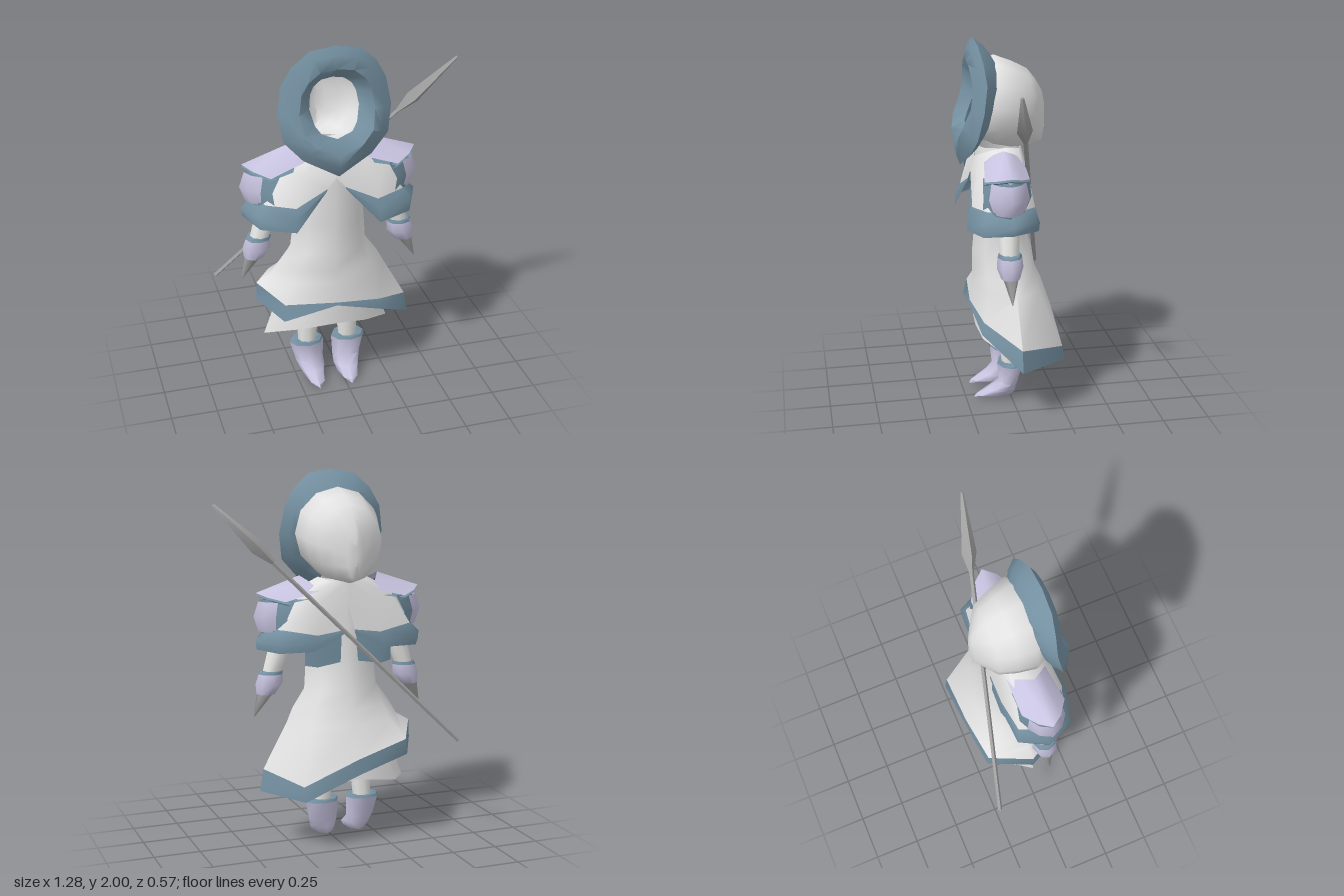
import * as THREE from 'three';
import { toCreasedNormals } from 'three/addons/utils/BufferGeometryUtils.js';

const mat = (name, color) => {
  const m = new THREE.MeshStandardMaterial({ color, side: THREE.DoubleSide });
  m.name = name;
  return m;
};

// Skin a surface through rows of points; closed joins each row into a ring.
function loft(rows, closed = true) {
  const n = rows[0].length, index = [];
  for (let r = 0; r + 1 < rows.length; r++) {
    for (let i = 0; i < (closed ? n : n - 1); i++) {
      const j = (i + 1) % n, a = r * n + i, b = r * n + j;
      index.push(a, a + n, b, b, a + n, b + n);
    }
  }
  const g = new THREE.BufferGeometry();
  g.setAttribute('position', new THREE.Float32BufferAttribute(rows.flat(2), 3));
  g.setIndex(index);
  return toCreasedNormals(g, 1.2);
}

// Horizontal oval cross-section, starting at the front and turning to +x.
const ring = (x, y, z, rx, rz, n = 8) => Array.from({ length: n }, (_, i) => {
  const a = (i / n) * Math.PI * 2;
  return [x + rx * Math.sin(a), y, z + rz * Math.cos(a)];
});

const limb = (sections, n) => loft(sections.map((s) => ring(...s, n)));

export function createModel() {
  const cloth = mat('pale cloth', 0xe2e2e2);
  const linen = mat('off-white linen', 0xe8e8e6);
  const trim = mat('slate blue trim', 0x7591a2);
  const armour = mat('lavender armour', 0xc8c3e0);
  const steel = mat('grey steel', 0xa0a0a0);

  const model = new THREE.Group();
  model.name = 'hoodedSpearFigure';
  const figure = new THREE.Group();
  figure.name = 'figure';
  figure.position.x = -0.063;
  model.add(figure);
  const add = (parent, name, geometry, material) => {
    const m = new THREE.Mesh(geometry, material);
    m.name = name;
    parent.add(m);
    return m;
  };

  // Hood shell, open at the front: [z, half width, bottom y, top y]
  const hood = [
    [0.15, 0.19, 1.47, 1.86], [0.075, 0.242, 1.43, 1.91], [-0.02, 0.215, 1.41, 1.875],
    [-0.105, 0.18, 1.415, 1.83], [-0.15, 0.11, 1.425, 1.775], [-0.185, 0.045, 1.44, 1.71],
    [-0.2, 0, 1.52, 1.64],
  ].map(([z, w, y0, y1]) => Array.from({ length: 12 }, (_, i) => {
    const a = (i / 12) * Math.PI * 2;
    return [w * Math.sin(a), (y0 + y1) / 2 + ((y1 - y0) / 2) * Math.cos(a), z];
  }));
  add(figure, 'hood', loft(hood), cloth);

  // Thick hood border: [outer x, y, z, inner x, y, z, half depth], top to chin
  const half = [
    [0, 2.0, 0.18, 0, 1.82, 0.13, 0.072], [0.13, 1.98, 0.175, 0.06, 1.81, 0.13, 0.072],
    [0.22, 1.9, 0.16, 0.1, 1.78, 0.135, 0.07], [0.275, 1.8, 0.15, 0.12, 1.74, 0.14, 0.066],
    [0.298, 1.66, 0.17, 0.13, 1.67, 0.16, 0.06], [0.275, 1.52, 0.2, 0.11, 1.59, 0.195, 0.068],
    [0.18, 1.42, 0.225, 0.08, 1.55, 0.215, 0.062], [0, 1.325, 0.255, 0, 1.52, 0.225, 0.05],
  ];
  const mirrored = half.slice(1, -1).reverse().map(([a, b, c, d, ...e]) => [-a, b, c, -d, ...e]);
  const border = [...half, ...mirrored, half[0]].map(([ox, oy, oz, ix, iy, iz, d]) => {
    const at = (t, dz) => [ox + (ix - ox) * t, oy + (iy - oy) * t, oz + (iz - oz) * t + dz];
    return [at(0, 0), at(0.25, d * 0.5), at(0.6, d), at(1, 0), at(0.6, -d), at(0.25, -d * 0.6)];
  });
  add(figure, 'hoodBorder', loft(border), trim);

  // Tunic with a slanted hem: [y, half width, front z, back z]
  const hemTop = [
    [0, 0.55, 0.21], [0.25, 0.51, 0.17], [0.455, 0.42, 0], [0.31, 0.37, -0.245],
    [0, 0.49, -0.245], [-0.28, 0.57, -0.22], [-0.395, 0.62, 0], [-0.28, 0.565, 0.185],
  ];
  const hemBottom = [
    [0, 0.535, 0.215], [0.27, 0.45, 0.185], [0.475, 0.3, 0], [0.305, 0.29, -0.26],
    [0, 0.405, -0.25], [-0.285, 0.49, -0.23], [-0.4, 0.52, 0], [-0.29, 0.475, 0.205],
  ];
  const torso = [
    [1.43, 0.1, 0.17, -0.06], [1.25, 0.17, 0.19, -0.08], [1.0, 0.195, 0.18, -0.09],
    [0.84, 0.21, 0.195, -0.135], [0.74, 0.28, 0.195, -0.15], [0.665, 0.32, 0.195, -0.185],
  ].map(([y, w, f, b]) => ring(0, y, (f + b) / 2, w, (f - b) / 2));
  add(figure, 'tunic', loft([...torso, hemTop]), cloth);
  add(figure, 'hemBand', loft([hemTop, hemBottom]), trim);

  // Underskirt
  const skirtHem = [
    [0, 0.4, 0.18], [0.18, 0.385, 0.165], [0.34, 0.31, 0.02], [0.23, 0.34, -0.19],
    [0, 0.37, -0.21], [-0.23, 0.34, -0.19], [-0.365, 0.305, 0.02], [-0.18, 0.385, 0.165],
  ];
  add(figure, 'underskirt', loft([ring(0, 0.7, 0.01, 0.22, 0.16), skirtHem]), cloth);

  // Mantle columns run from the chest slit round the shoulder to the spine
  const neck = [[0, 1.37, 0.18], [0.08, 1.4, 0.16], [0.11, 1.425, 0.1], [0.13, 1.44, 0.03],
    [0.11, 1.43, -0.04], [0.06, 1.42, -0.065], [0, 1.42, -0.07]];
  const shoulder = [[0, 1.29, 0.2], [0.17, 1.32, 0.19], [0.28, 1.34, 0.13], [0.31, 1.35, 0.04],
    [0.27, 1.34, -0.04], [0.15, 1.32, -0.08], [0, 1.3, -0.085]];
  const bandTop = [[0.05, 1.235, 0.205], [0.22, 1.155, 0.225], [0.37, 1.17, 0.17], [0.41, 1.17, 0.05],
    [0.36, 1.18, -0.08], [0.18, 1.145, -0.1], [0.03, 1.165, -0.1]];
  const bandMid = [[0.05, 1.23, 0.207], [0.225, 1.1, 0.25], [0.41, 1.115, 0.195], [0.475, 1.11, 0.05],
    [0.4, 1.11, -0.097], [0.2, 1.1, -0.108], [0.03, 1.155, -0.103]];
  const bandBottom = [[0.05, 1.225, 0.205], [0.225, 1.03, 0.255], [0.405, 1.045, 0.195], [0.47, 1.065, 0.05],
    [0.39, 1.06, -0.095], [0.2, 1.06, -0.105], [0.03, 1.145, -0.103]];

  // Shoulder plate outlines, front to back
  const plateInner = [[0.155, 1.375, 0.15], [0.19, 1.42, 0.11], [0.225, 1.448, 0.06],
    [0.19, 1.42, 0], [0.15, 1.375, -0.06]];
  const plateOuter = [[0.34, 1.32, 0.18], [0.42, 1.345, 0.125], [0.468, 1.365, 0.06],
    [0.42, 1.345, 0], [0.34, 1.325, -0.055]];
  const guard = (y, x, zr, inset) => [-1, -0.6, 0, 0.6, 1].map((t) => [x - inset * t * t, y, 0.06 - t * zr]);
  const lower = (pts, d) => pts.map(([x, y, z]) => [x, y - d, z]);

  for (const side of [1, -1]) {
    const g = new THREE.Group();
    g.name = side > 0 ? 'leftSide' : 'rightSide';
    g.scale.x = side;
    figure.add(g);

    add(g, 'mantle', loft([neck, shoulder, bandTop], false), cloth);
    add(g, 'mantleBand', loft([bandTop, bandMid, bandBottom], false), trim);
    add(g, 'backFlap', loft([
      [[0.04, 1.16, -0.092], [0.16, 1.16, -0.096], [0.25, 1.15, -0.085]],
      [[0.05, 0.995, -0.1], [0.18, 0.975, -0.104], [0.245, 0.985, -0.085]],
    ], false), trim);

    // Layered shoulder armour
    add(g, 'shoulderPlate', loft([plateInner, plateOuter], false), armour);
    add(g, 'shoulderPlateLining', loft([lower(plateInner, 0.03), lower(plateOuter, 0.012),
      lower(plateOuter, 0.03).map(([x, y, z]) => [x - 0.04, y, z])], false), trim);
    add(g, 'armGuard', loft([guard(1.32, 0.455, 0.09, 0.08), guard(1.24, 0.482, 0.105, 0.09),
      guard(1.16, 0.455, 0.08, 0.07)], false), armour);
    add(g, 'armGuardBacking', loft([guard(1.33, 0.43, 0.12, 0.14), guard(1.24, 0.455, 0.125, 0.12),
      guard(1.13, 0.43, 0.125, 0.11)], false), trim);

    // Arm, cuff and pointed hand
    add(g, 'sleeve', limb([[0.27, 1.32, 0.05, 0.06, 0.06], [0.33, 1.1, 0.055, 0.065, 0.06],
      [0.39, 0.92, 0.058, 0.05, 0.05]], 8), linen);
    add(g, 'cuffRim', limb([[0.385, 0.945, 0.058, 0.05, 0.05], [0.387, 0.945, 0.058, 0.062, 0.06],
      [0.39, 0.928, 0.058, 0.068, 0.065]], 8), trim);
    add(g, 'cuff', limb([[0.39, 0.928, 0.058, 0.068, 0.065], [0.4, 0.875, 0.058, 0.076, 0.07],
      [0.418, 0.82, 0.058, 0.052, 0.05], [0.418, 0.82, 0.058, 0, 0]], 8), armour);
    add(g, 'hand', limb([[0.422, 0.825, 0.058, 0.045, 0.042], [0.485, 0.695, 0.06, 0.002, 0.002]], 6), steel);

    // Leg and pointed boot
    add(g, 'leg', limb([[0.11, 0.56, 0.01, 0.075, 0.062], [0.112, 0.38, 0.01, 0.064, 0.053],
      [0.118, 0.2, 0.008, 0.05, 0.045]], 8), linen);
    add(g, 'bootRim', limb([[0.12, 0.222, 0.008, 0.045, 0.04], [0.12, 0.225, 0.005, 0.088, 0.068],
      [0.12, 0.21, 0.005, 0.096, 0.074]], 8), trim);
    add(g, 'boot', limb([[0.12, 0.21, 0.005, 0.096, 0.074], [0.108, 0.1, 0.015, 0.08, 0.053],
      [0.1, 0.06, 0.045, 0.073, 0.075], [0.095, 0.022, 0.085, 0.055, 0.11],
      [0.092, 0.004, 0.125, 0.015, 0.08], [0.092, 0.002, 0.125, 0, 0]], 8), armour);
  }

  // Spear slung across the back: [distance along, half thickness]
  const butt = new THREE.Vector3(-0.635, 0.548, -0.272);
  const tip = new THREE.Vector3(0.632, 1.833, 0.055);
  const length = butt.distanceTo(tip);
  const spear = new THREE.Group();
  spear.name = 'spear';
  spear.position.copy(butt);
  spear.quaternion.setFromUnitVectors(new THREE.Vector3(0, 1, 0), tip.clone().sub(butt).normalize());
  model.add(spear);
  const bar = (profile) => limb(profile.map(([t, r]) => [0, t * length, 0, r, r]), 4);
  add(spear, 'shaft', bar([[0, 0], [0, 0.012], [0.8, 0.012]]), steel);
  add(spear, 'spearhead', bar([[0.765, 0.012], [0.825, 0.04], [0.998, 0.008], [1, 0]]), steel);

  return model;
}
